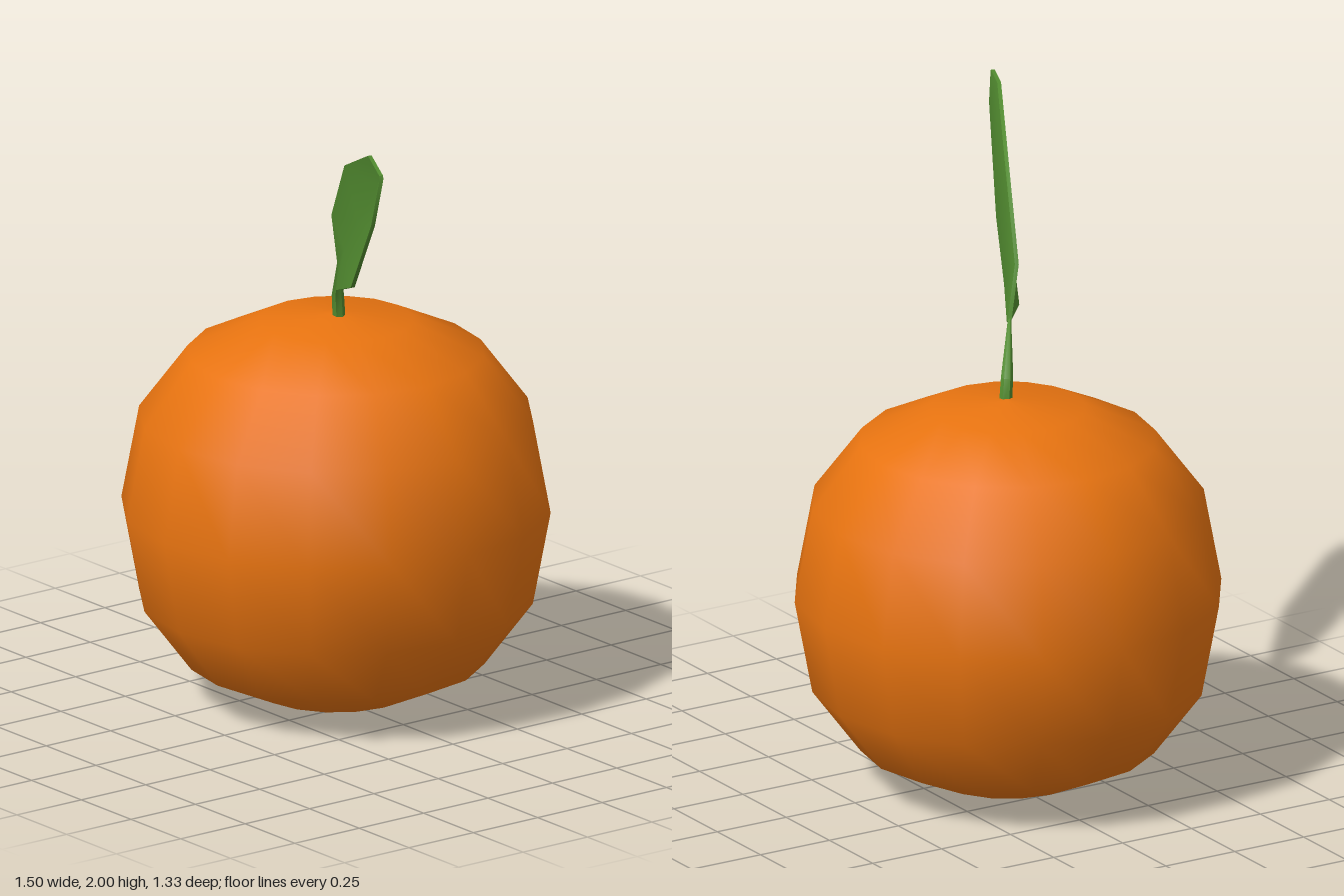
import * as THREE from 'three';
import { toCreasedNormals } from 'three/addons/utils/BufferGeometryUtils.js';

// Closed surface through rings of equal point count, with flat end caps.
function loft(rings, crease) {
  const n = rings[0].length, index = [];
  for (let r = 0; r < rings.length - 1; r++) {
    for (let i = 0; i < n; i++) {
      const a = r * n + i, b = r * n + (i + 1) % n;
      index.push(a, b, b + n, a, b + n, a + n);
    }
  }
  const last = (rings.length - 1) * n;
  for (let i = 1; i < n - 1; i++) {
    index.push(0, i + 1, i, last, last + i, last + i + 1);
  }
  const geometry = new THREE.BufferGeometry();
  geometry.setAttribute('position', new THREE.Float32BufferAttribute(rings.flat(2), 3));
  geometry.setIndex(index);
  return toCreasedNormals(geometry, crease);
}

export function createModel() {
  const model = new THREE.Group();
  model.name = 'fruitWithLeaf';
  const orange = new THREE.MeshStandardMaterial({ color: 0xe77310 });
  orange.name = 'orange peel';
  const green = new THREE.MeshStandardMaterial({ color: 0x528c30 });
  green.name = 'leaf green';

  const add = (name, geometry, material) => {
    const mesh = new THREE.Mesh(geometry, material);
    mesh.name = name;
    model.add(mesh);
    return mesh;
  };

  // Fruit: a sixteen-sided ball with slightly flattened poles
  const profile = [
    [0, 0], [0.24, 0.03], [0.46, 0.13], [0.61, 0.33], [0.665, 0.625],
    [0.61, 0.92], [0.46, 1.12], [0.24, 1.222], [0, 1.247],
  ].map(([r, y]) => new THREE.Vector2(r, y));
  add('fruit', new THREE.LatheGeometry(profile, 16), orange).position.x = -0.088;

  // Stem: bent and tapering towards the leaf
  const stemRings = [
    [-0.065, 1.22, 0.005, 0.02],
    [-0.062, 1.31, 0.013, 0.019],
    [0.035, 1.46, 0.083, 0.005],
  ].map(([x, y, z, r]) => Array.from({ length: 6 }, (_, i) => {
    const a = -i * Math.PI / 3;
    return [x + r * Math.cos(a), y, z + r * Math.sin(a)];
  }));
  add('stem', loft(stemRings, 0.9), green);

  // Leaf: rows of upper edge, midrib and lower edge, from base to tip
  const leafRows = [
    [[0.03, 1.455, 0.08], [0.035, 1.45, 0.08], [0.04, 1.446, 0.083]],
    [[0.06, 1.62, 0.125], [0.13, 1.53, 0.13], [0.2, 1.43, 0.215]],
    [[0.21, 1.83, 0.19], [0.32, 1.68, 0.22], [0.43, 1.52, 0.335]],
    [[0.6, 2.0, 0.4], [0.655, 1.92, 0.405], [0.72, 1.82, 0.48]],
    [[0.745, 1.985, 0.468], [0.747, 1.975, 0.468], [0.747, 1.965, 0.47]],
  ];
  // Each row becomes a thin closed ring: along the front, back along the rear
  const half = 0.006;
  const shift = ([x, y, z], s) => [x - 0.47 * half * s, y, z + 0.88 * half * s];
  const leafRings = leafRows.map((row) => [
    ...row.map((p) => shift(p, 1)),
    ...row.map((p) => shift(p, -1)).reverse(),
  ]);
  add('leaf', loft(leafRings, 0.9), green);

  return model;
}
